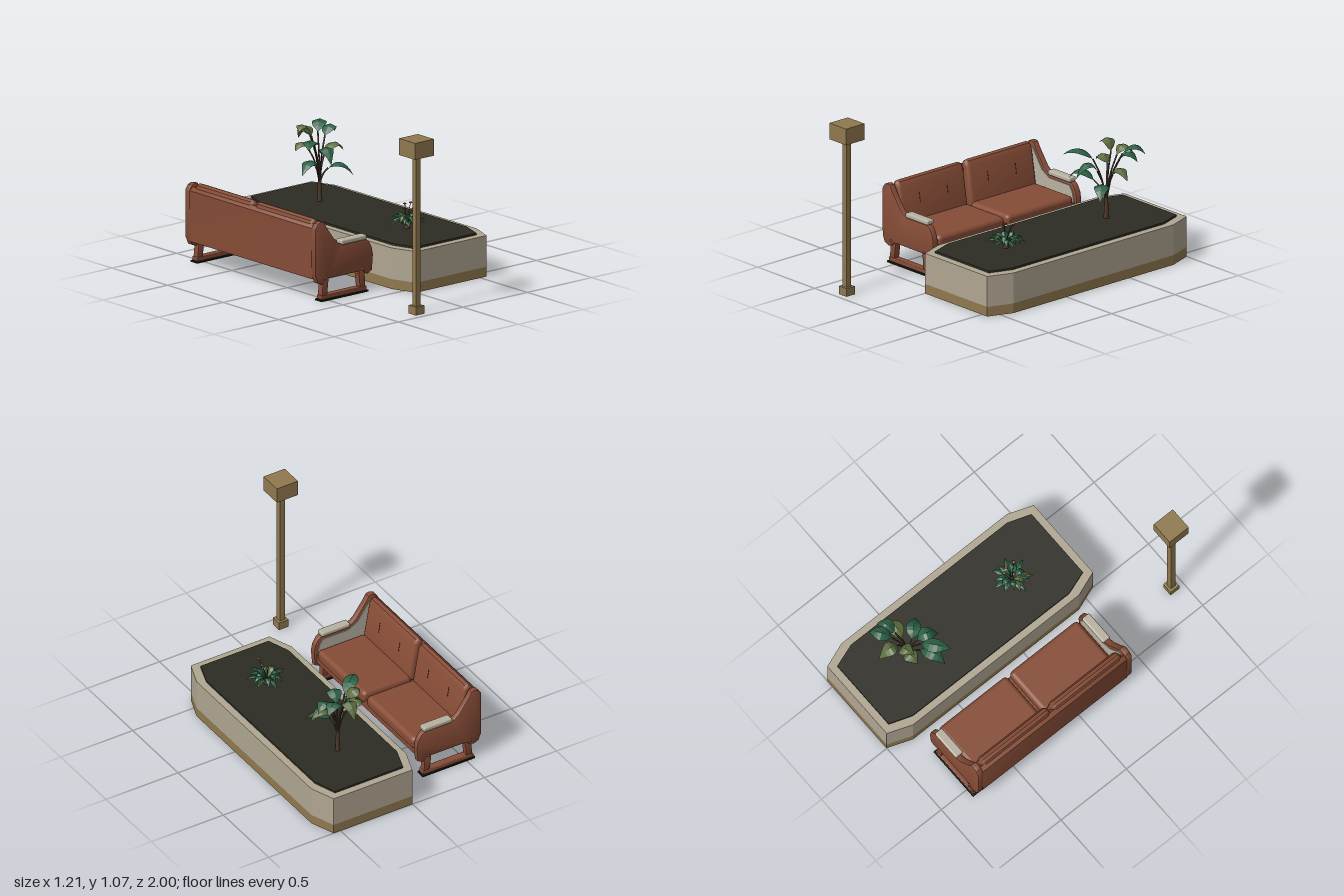
import * as THREE from 'three';
import { toCreasedNormals } from 'three/addons/utils/BufferGeometryUtils.js';
import { RoundedBoxGeometry } from 'three/addons/geometries/RoundedBoxGeometry.js';

const mat = (name, color, extra = {}) => Object.assign(new THREE.MeshStandardMaterial({ color, ...extra }), { name });

export function createModel() {
  const leafy = { side: THREE.DoubleSide, flatShading: true };
  const leather = mat('rust leather', 0x864c36);
  const seam = mat('dark seam', 0x4a281c);
  const stone = mat('pale stone', 0xb0a692);
  const brass = mat('tan metal', 0x90794f);
  const soilMat = mat('dark soil', 0x2d2c23);
  const rubber = mat('black rubber', 0x171913);
  const green = mat('leaf green', 0x2c6145, leafy);
  const olive = mat('leaf olive', 0x5d6e40, leafy);
  const bark = mat('brown bark', 0x4c382a);
  const fabric = mat('pale fabric', 0xb8b2a1);

  const model = new THREE.Group();
  const group = (name) => {
    const g = new THREE.Group();
    g.name = name;
    model.add(g);
    return g;
  };
  const add = (parent, name, geo, material) => {
    const m = new THREE.Mesh(geo, material);
    m.name = name;
    parent.add(m);
    return m;
  };
  // box given by its min and max on each axis
  const box = (parent, name, material, [x0, x1], [y0, y1], [z0, z1], r = 0) => {
    const s = [x1 - x0, y1 - y0, z1 - z0];
    const geo = r ? new RoundedBoxGeometry(...s, 3, r) : new THREE.BoxGeometry(...s);
    geo.translate((x0 + x1) / 2, (y0 + y1) / 2, (z0 + z1) / 2);
    return add(parent, name, geo, material);
  };
  const outline = (pts) => new THREE.Shape(pts.map(([x, y]) => new THREE.Vector2(x, y)));
  // side profile (x, y) extruded from z0 to z1 with rounded edges
  const slab = (pts, z0, z1, bevel = 0, segments = 2) => {
    const geo = new THREE.ExtrudeGeometry(outline(pts), {
      depth: z1 - z0 - 2 * bevel, bevelEnabled: bevel > 0, bevelSize: bevel,
      bevelThickness: bevel, bevelOffset: -bevel, bevelSegments: segments,
    });
    geo.translate(0, 0, z0 + bevel);
    return toCreasedNormals(geo, 0.6);
  };

  // ---- planter: chamfered octagon, plinth, wall and soil ----
  const planter = group('planter');
  const octagon = (x0, x1, z0, z1, cx, cz, y0, y1) => {
    const geo = new THREE.ExtrudeGeometry(outline([
      [x0 + cx, -z1], [x1 - cx, -z1], [x1, -z1 + cz], [x1, -z0 - cz],
      [x1 - cx, -z0], [x0 + cx, -z0], [x0, -z0 - cz], [x0, -z1 + cz],
    ]), { depth: y1 - y0, bevelEnabled: false });
    return geo.rotateX(-Math.PI / 2).translate(0, y0, 0);
  };
  add(planter, 'planterPlinth', octagon(-0.055, 0.605, -1, 0.578, 0.057, 0.155, 0, 0.06), brass);
  add(planter, 'planterWall', octagon(-0.055, 0.605, -1, 0.578, 0.057, 0.155, 0.06, 0.25), stone);
  add(planter, 'soil', octagon(-0.012, 0.56, -0.955, 0.53, 0.05, 0.145, 0.249, 0.262), soilMat);

  // ---- lamp post ----
  const lamp = group('lampPost');
  box(lamp, 'lampBase', brass, [-0.331, -0.264], [0, 0.05], [0.894, 0.961]);
  box(lamp, 'lampPole', brass, [-0.315, -0.28], [0.05, 0.965], [0.91, 0.945]);
  box(lamp, 'lampHead', brass, [-0.37, -0.224], [0.965, 1.066], [0.854, 1]);

  // ---- sofa ----
  const sofa = group('sofa');
  const mid = -0.215;
  box(sofa, 'seatBase', leather, [-0.59, -0.175], [0.14, 0.2], [-0.77, 0.34]);
  const backPanel = [[-0.6, 0.14], [-0.55, 0.14], [-0.55, 0.44], [-0.575, 0.47], [-0.602, 0.45]];
  add(sofa, 'backPanel', slab(backPanel, -0.77, 0.34, 0.005), leather);
  for (const x of [-0.52, -0.245]) box(sofa, 'underRail', leather, [x - 0.015, x + 0.015], [0.115, 0.14], [-0.78, 0.35]);

  const armPts = [
    [-0.605, 0.45], [-0.585, 0.48], [-0.56, 0.49], [-0.535, 0.485], [-0.515, 0.45], [-0.445, 0.355],
    [-0.42, 0.335], [-0.385, 0.32], [-0.205, 0.32], [-0.185, 0.305], [-0.163, 0.265], [-0.154, 0.22], [-0.162, 0.125],
    [-0.195, 0.107], [-0.215, 0.115], [-0.23, 0.133], [-0.5, 0.133], [-0.525, 0.11], [-0.55, 0.103], [-0.585, 0.118], [-0.602, 0.16],
  ];
  const liningPts = [
    [-0.57, 0.45], [-0.535, 0.45], [-0.455, 0.335], [-0.39, 0.3], [-0.215, 0.3],
    [-0.19, 0.265], [-0.178, 0.22], [-0.185, 0.16], [-0.57, 0.16],
  ];
  const legs = [
    [[-0.546, 0.03], [-0.505, 0.03], [-0.492, 0.14], [-0.535, 0.14]],
    [[-0.25, 0.03], [-0.208, 0.03], [-0.215, 0.14], [-0.262, 0.14]],
  ];
  for (const side of [1, -1]) {
    // z range measured outward from the sofa middle
    const span = (a, b) => (side > 0 ? [mid + a, mid + b] : [mid - b, mid - a]);
    add(sofa, 'armPanel', slab(armPts, ...span(0.548, 0.588), 0.008), leather);
    add(sofa, 'armLining', slab(liningPts, ...span(0.543, 0.55)), fabric);
    box(sofa, 'armPad', fabric, [-0.4, -0.204], [0.319, 0.349], span(0.535, 0.59), 0.01);
    legs.forEach((pts) => add(sofa, 'leg', slab(pts, ...span(0.54, 0.58), 0.004), leather));
    box(sofa, 'runner', leather, [-0.55, -0.202], [0.01, 0.035], span(0.535, 0.585), 0.005);
    box(sofa, 'runnerPad', rubber, [-0.558, -0.194], [0, 0.01], span(0.53, 0.59));
    for (const x of [-0.525, -0.235]) {
      add(sofa, 'bolt', new THREE.SphereGeometry(0.008, 10, 6).translate(x, 0.142, mid + side * 0.588), leather);
    }

    // cushions
    const backPts = [[-0.588, 0.2], [-0.586, 0.455], [-0.574, 0.484], [-0.556, 0.495], [-0.535, 0.488], [-0.518, 0.462], [-0.475, 0.21]];
    const cz = span(0.01, 0.533);
    add(sofa, 'backCushion', slab(backPts, ...cz, 0.028, 4), leather);
    box(sofa, 'seatCushion', leather, [-0.5, -0.162], [0.17, 0.25], cz, 0.028);
    box(sofa, 'seatPiping', seam, [-0.47, -0.163], [0.207, 0.213], [cz[0] + 0.02, cz[1] - 0.02]);
    for (const d of [0.16, 0.38]) {
      const stitch = add(sofa, 'backStitch', new THREE.BoxGeometry(0.004, 0.065, 0.004), seam);
      stitch.position.set(-0.503, 0.372, mid + side * d);
      stitch.rotation.z = 0.169;
    }
  }

  // ---- plants ----
  // folded leaf along a curve, with three points across each row
  const leaf = (base, ctrl, tip, width) => {
    const curve = new THREE.QuadraticBezierCurve3(...[base, ctrl, tip].map((p) => new THREE.Vector3(...p)));
    const across = new THREE.Vector3(tip[2] - base[2], 0, base[0] - tip[0]).normalize();
    const rows = 7, pos = [], idx = [];
    for (let i = 0; i <= rows; i++) {
      const t = i / rows, p = curve.getPoint(t);
      const w = width * 0.5 * Math.sin(Math.PI * Math.pow(t, 0.8)) + 0.001;
      for (const s of [-1, 0, 1]) pos.push(p.x + across.x * w * s, p.y + (s ? -w * 0.2 : w * 0.15), p.z + across.z * w * s);
      if (i < rows) {
        for (const k of [0, 1]) {
          const a = i * 3 + k;
          idx.push(a, a + 1, a + 3, a + 1, a + 4, a + 3);
        }
      }
    }
    const geo = new THREE.BufferGeometry();
    geo.setAttribute('position', new THREE.Float32BufferAttribute(pos, 3));
    geo.setIndex(idx);
    geo.computeVertexNormals();
    return geo;
  };
  const stem = (pts, r) =>
    new THREE.TubeGeometry(new THREE.CatmullRomCurve3(pts.map((p) => new THREE.Vector3(...p))), 8, r, 6);

  const tall = group('tallPlant');
  add(tall, 'trunk', new THREE.CylinderGeometry(0.01, 0.016, 0.14, 8).translate(0.275, 0.33, -0.61), bark);
  const tallLeaves = [
    [[0.2, 0.62, -0.57], [0.12, 0.71, -0.53], [0.06, 0.635, -0.46], green],
    [[0.21, 0.49, -0.57], [0.13, 0.6, -0.53], [0.055, 0.475, -0.51], green],
    [[0.25, 0.66, -0.67], [0.21, 0.76, -0.71], [0.155, 0.69, -0.66], olive],
    [[0.28, 0.64, -0.69], [0.27, 0.75, -0.75], [0.29, 0.6, -0.82], olive],
    [[0.33, 0.66, -0.69], [0.38, 0.76, -0.74], [0.44, 0.665, -0.77], green],
    [[0.32, 0.54, -0.62], [0.39, 0.65, -0.61], [0.46, 0.54, -0.61], olive],
    [[0.3, 0.47, -0.56], [0.35, 0.55, -0.5], [0.4, 0.43, -0.45], green],
    [[0.25, 0.56, -0.56], [0.235, 0.68, -0.5], [0.21, 0.53, -0.43], green],
    [[0.23, 0.58, -0.66], [0.18, 0.66, -0.67], [0.13, 0.58, -0.66], olive],
    [[0.35, 0.64, -0.65], [0.41, 0.74, -0.67], [0.46, 0.64, -0.69], green],
  ];
  for (const [base, ctrl, tip, material] of tallLeaves) {
    const low = [0.275, 0.37, -0.61];
    const bend = low.map((v, i) => v + (base[i] - v) * (i === 1 ? 0.6 : 0.4));
    add(tall, 'branch', stem([low, bend, base], 0.005), bark);
    add(tall, 'broadLeaf', leaf(base, ctrl, tip, 0.088), material);
  }

  const small = group('smallPlant');
  const [px, pz] = [0.27, 0.18];
  add(small, 'crown', new THREE.CylinderGeometry(0.012, 0.018, 0.04, 8).translate(px, 0.28, pz), bark);
  for (let i = 0; i < 18; i++) {
    const a = i * 2.4, c = Math.cos(a), s = Math.sin(a);
    const r = 0.085 + 0.02 * (i % 3), h = 0.4 - 0.025 * (i % 3);
    add(small, 'narrowLeaf', leaf([px + c * 0.01, 0.28, pz + s * 0.01], [px + c * r * 0.55, h, pz + s * r * 0.55],
      [px + c * r, 0.3 + 0.008 * (i % 2), pz + s * r], 0.036), i % 5 === 4 ? olive : green);
  }
  for (const [dx, dz, y] of [[0.03, 0.04, 0.425], [0.02, -0.04, 0.4], [-0.02, 0.0, 0.39], [0.04, -0.01, 0.41]]) {
    add(small, 'flowerStalk', stem([[px, 0.28, pz], [px + dx * 0.4, 0.35, pz + dz * 0.4], [px + dx, y, pz + dz]], 0.002), bark);
    add(small, 'flowerBud', new THREE.SphereGeometry(0.008, 8, 6).scale(1.4, 0.5, 1.4).translate(px + dx, y, pz + dz), leather);
  }

  return model;
}
